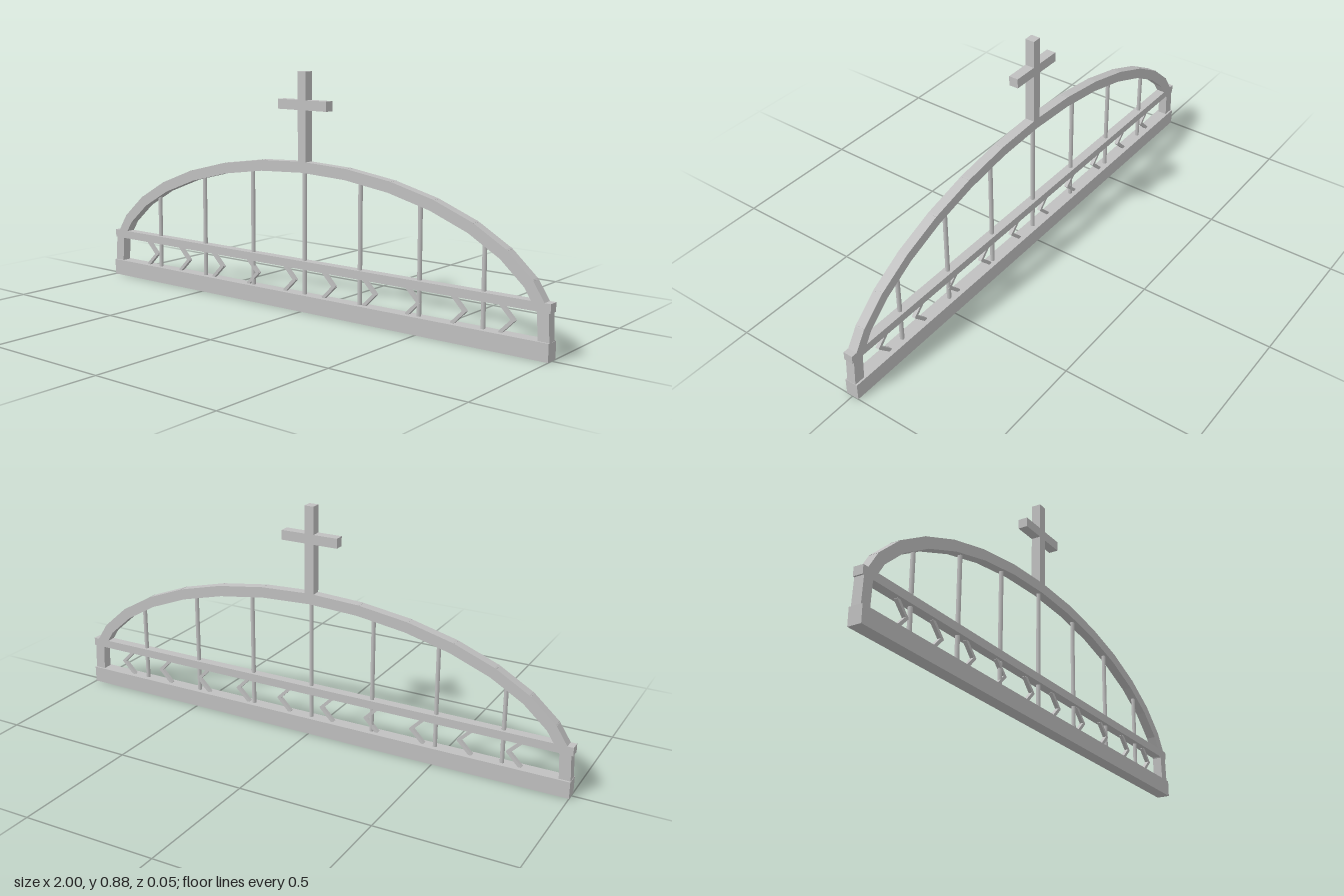
import * as THREE from 'three';

export function createModel() {
  const model = new THREE.Group();
  const silver = new THREE.MeshStandardMaterial({ color: 0xc0c0c0 });
  silver.name = 'silver metal';
  const DEPTH = 0.036;

  const add = (name, geometry, x, y, parent = model) => {
    const mesh = new THREE.Mesh(geometry, silver);
    mesh.name = name;
    mesh.position.set(x, y, 0);
    parent.add(mesh);
    return mesh;
  };
  const box = (name, w, h, d, x, y, parent) => add(name, new THREE.BoxGeometry(w, h, d), x, y, parent);
  const group = (name) => {
    const g = new THREE.Group();
    g.name = name;
    model.add(g);
    return g;
  };
  // Straight bar between two points in the front plane
  const beam = (name, a, b, thick, depth, extra, parent) => {
    const d = b.clone().sub(a);
    const mesh = box(name, d.length() + extra, thick, depth, (a.x + b.x) / 2, (a.y + b.y) / 2, parent);
    mesh.rotation.z = Math.atan2(d.y, d.x);
  };

  // Base beam and rail
  box('baseBeam', 2, 0.062, 0.05, 0, 0.031);
  box('rail', 2, 0.031, DEPTH, 0, 0.172);

  // End posts, leaning slightly inwards
  for (const s of [-1, 1]) {
    beam('endPost', new THREE.Vector2(s * 0.979, 0.05), new THREE.Vector2(s * 0.973, 0.16), 0.041, DEPTH, 0, model);
  }

  // Half-elliptical arch of straight, slightly overlapping segments above the posts
  const RX = 0.996, RY = 0.472, Y0 = 0.06, SEGMENTS = 16;
  const arch = group('arch');
  const archPoint = (i) => {
    const t = (i / SEGMENTS) * Math.PI;
    return new THREE.Vector2(RX * Math.cos(t), Y0 + RY * Math.sin(t));
  };
  for (let i = 1; i < SEGMENTS - 1; i++) {
    beam('archSegment', archPoint(i), archPoint(i + 1), 0.04, DEPTH, 0.01, arch);
  }

  // Upright bars from the base to the arch
  const bars = group('uprightBars');
  for (let i = -3; i <= 3; i++) {
    const x = i * 0.25;
    const top = Y0 + RY * Math.sqrt(1 - (x / RX) ** 2) - 0.008;
    add('uprightBar', new THREE.CylinderGeometry(0.008, 0.008, top - 0.05, 8), x, (top + 0.05) / 2, bars);
  }

  // Row of chevrons between base and rail
  const chevrons = group('chevrons');
  for (let i = 0; i < 10; i++) {
    const x = -0.771 + i * 0.1815;
    const tip = new THREE.Vector2(x, 0.11);
    for (const s of [-1, 1]) {
      beam('chevronArm', new THREE.Vector2(x - 0.046, 0.11 + s * 0.046), tip, 0.012, 0.014, 0.008, chevrons);
    }
  }

  // Cross on top of the arch
  const cross = group('cross');
  box('crossUpright', 0.036, 0.345, DEPTH, 0, 0.7025, cross);
  box('crossArm', 0.222, 0.036, DEPTH, 0, 0.755, cross);

  return model;
}
